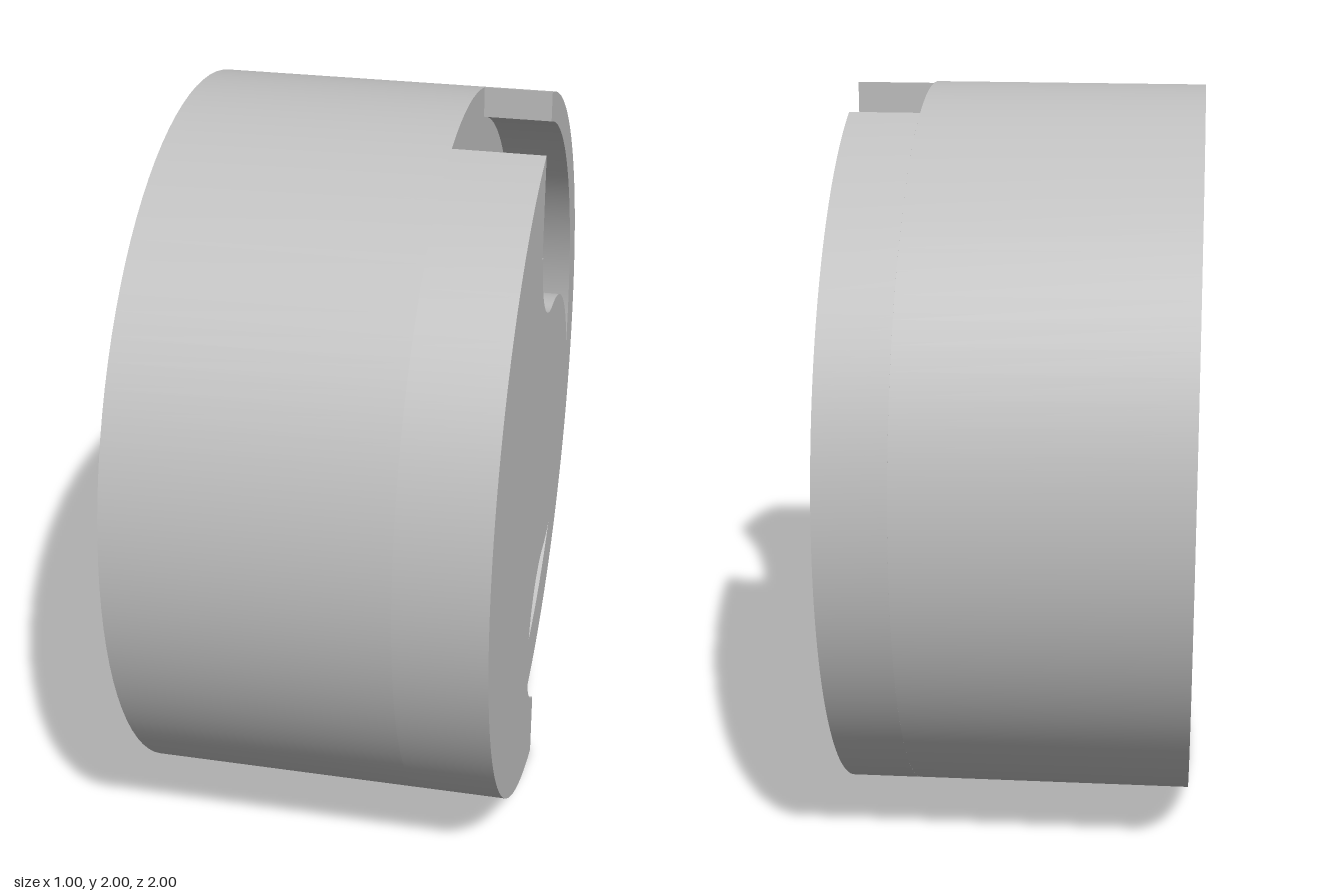
import * as THREE from 'three';
import { toCreasedNormals } from 'three/addons/utils/BufferGeometryUtils.js';

const PI = Math.PI;
const BACK = -0.5, FLOOR = 0.255, RIM = 0.445, FACE = 0.5;
const HUB_Y = 0.05, HUB_R = 0.39, WALL_R = 0.87; // pocket arcs about the hub centre
const LOW_Y = -0.58, TOP_Y = 0.68, END_R = 0.24; // rounded pocket ends
const SLOT = 0.255, SPLIT = 0.09;                // slot half width, step offset

// angles where the slot and the step meet the outer circle and the lower pocket end
const slotLeft = PI / 2 + Math.asin(SLOT);
const slotRight = PI / 2 - Math.asin(SLOT);
const stepOuter = -PI / 2 - Math.asin(SPLIT);
const stepInner = -PI / 2 - Math.asin(SPLIT / END_R);

export function createModel() {
  const group = new THREE.Group();
  const grey = new THREE.MeshStandardMaterial({ color: 0xc0c0c0 });
  grey.name = 'grey';

  // extrude a profile (drawn in -z, y) along x
  function slab(name, shape, x0, x1) {
    let geo = new THREE.ExtrudeGeometry(shape, { depth: x1 - x0, bevelEnabled: false, curveSegments: 48 });
    geo.rotateY(PI / 2);
    geo.translate(x0, 1, 0);
    geo = toCreasedNormals(geo, PI / 6);
    geo.clearGroups();
    const mesh = new THREE.Mesh(geo, grey);
    mesh.name = name;
    group.add(mesh);
  }

  // round body up to the pocket floor
  const disc = new THREE.Shape();
  disc.absarc(0, 0, 1, 0, 2 * PI, false);
  slab('body', disc, BACK, FLOOR);

  // raised land with the round hub and the two hollow pocket ends
  const land = new THREE.Shape();
  land.absarc(0, 0, 1, slotLeft, stepOuter + 2 * PI, false);
  land.absarc(0, LOW_Y, END_R, stepInner, PI / 2, true);
  land.absarc(0, HUB_Y, HUB_R, -PI / 2, PI / 2, false);
  land.absarc(0, TOP_Y, END_R, -PI / 2, PI, true);
  land.lineTo(-SLOT, TOP_Y);
  land.closePath();
  slab('raisedLand', land, FLOOR, FACE);

  // slightly lower rim around the outside of the pocket
  const wallEnd = Math.acos(SLOT / WALL_R);
  const rim = new THREE.Shape();
  rim.absarc(0, 0, 1, stepOuter, slotRight, false);
  rim.absarc(0, HUB_Y, WALL_R, wallEnd, -PI / 2, true);
  rim.absarc(0, LOW_Y, END_R, -PI / 2, stepInner, true);
  rim.closePath();
  slab('rim', rim, FLOOR, RIM);

  return group;
}
